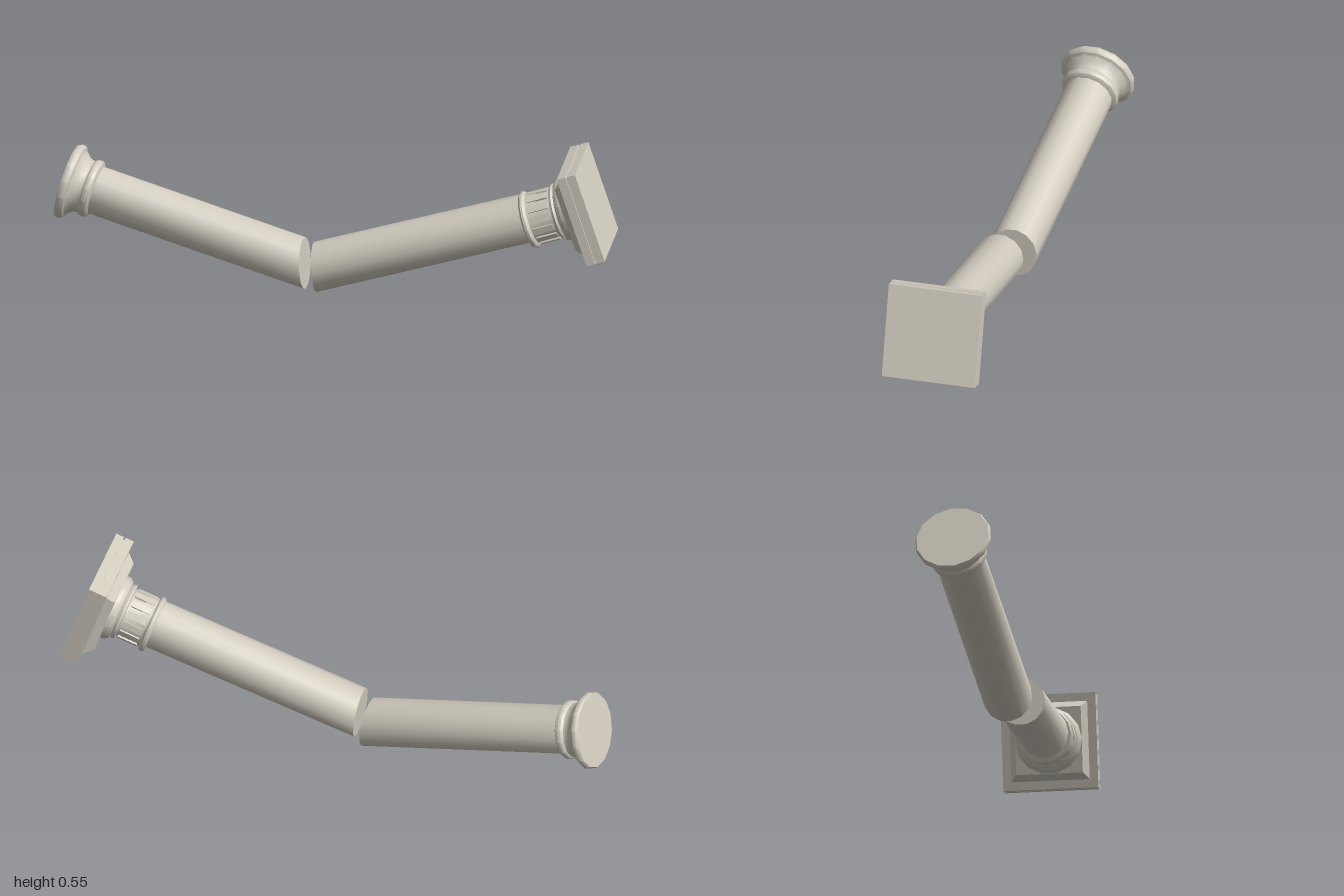
import * as THREE from 'three';
import { toCreasedNormals } from 'three/addons/utils/BufferGeometryUtils.js';

const SIDES = 14;
const SHAFT_R = 0.0875;
const UP = new THREE.Vector3(0, 1, 0);

export function createModel() {
  const model = new THREE.Group();
  model.name = 'brokenColumn';
  const stone = new THREE.MeshStandardMaterial({ color: 0xd3cdc0 });
  stone.name = 'paleStone';

  const add = (parent, name, geo) => {
    const mesh = new THREE.Mesh(toCreasedNormals(geo, 0.6), stone);
    mesh.name = name;
    parent.add(mesh);
    return mesh;
  };

  // turned part; the profile lists [radius, height] from bottom to top
  const turned = (parent, name, profile) =>
    add(parent, name, new THREE.LatheGeometry(profile.map(([r, y]) => new THREE.Vector2(r, y)), SIDES));

  // group whose local y runs along the given direction
  const pieceAlong = (name, origin, dir) => {
    const g = new THREE.Group();
    g.name = name;
    g.position.copy(origin);
    g.quaternion.setFromUnitVectors(UP, dir.clone().normalize());
    model.add(g);
    return g;
  };

  // shaft from the whole end to the break, its last ring slid onto a slanted plane
  // x = broken.x + sy * (y - broken.y) + sz * (z - broken.z)
  const brokenShaft = (name, whole, broken, sy, sz) => {
    const axis = broken.clone().sub(whole);
    const len = axis.length();
    axis.normalize();
    const geo = new THREE.CylinderGeometry(SHAFT_R, SHAFT_R, len, SIDES);
    geo.translate(0, len / 2, 0);
    geo.applyQuaternion(new THREE.Quaternion().setFromUnitVectors(UP, axis));
    geo.translate(whole.x, whole.y, whole.z);
    const normal = new THREE.Vector3(1, -sy, -sz);
    const pos = geo.attributes.position;
    const v = new THREE.Vector3();
    for (let i = 0; i < pos.count; i++) {
      v.fromBufferAttribute(pos, i);
      if (v.clone().sub(whole).dot(axis) < len / 2) continue;
      const t = broken.clone().sub(v).dot(normal) / axis.dot(normal);
      v.addScaledVector(axis, t);
      pos.setXYZ(i, v.x, v.y, v.z);
    }
    add(model, name, geo);
  };

  // lower half: moulded foot and shaft
  const foot = new THREE.Vector3(-0.962, 0.318, -0.092);
  const lowBreak = new THREE.Vector3(-0.1, 0.09, 0.013);
  const lowDir = lowBreak.clone().sub(foot).normalize();
  const base = pieceAlong('base', foot, lowDir);
  turned(base, 'baseMoulding', [
    [0, 0], [0.132, 0], [0.137, 0.008], [0.137, 0.02], [0.131, 0.029], [0.119, 0.033],
    [0.112, 0.042], [0.102, 0.052], [0.097, 0.066], [0.097, 0.076],
    [0.104, 0.083], [0.106, 0.093], [0.103, 0.104], [0.094, 0.11], [0.085, 0.112],
  ]);
  brokenShaft('lowerShaft', foot.clone().addScaledVector(lowDir, 0.1), lowBreak, -0.065, -0.094);

  // upper half: shaft and capital
  const top = new THREE.Vector3(0.944, 0.391, 0.057);
  const highBreak = new THREE.Vector3(-0.058, 0.092, 0.053);
  const highDir = top.clone().sub(highBreak).normalize();
  brokenShaft('upperShaft', top.clone().addScaledVector(highDir, -0.2), highBreak, -0.09, 0);

  const tilt = THREE.MathUtils.degToRad(18.4);
  const capital = pieceAlong('capital', top, new THREE.Vector3(Math.cos(tilt), Math.sin(tilt), 0));

  // square slab in two layers with a shallow groove between
  for (const [name, width, thick, y] of [
    ['abacusTop', 0.337, 0.03, -0.015],
    ['abacusGroove', 0.322, 0.008, -0.033],
    ['abacusBottom', 0.337, 0.032, -0.052],
  ]) add(capital, name, new THREE.BoxGeometry(width, thick, width).translate(0, y, 0));

  // square block flaring up to the slab
  const flare = new THREE.CylinderGeometry(0.14 * Math.SQRT2, 0.118 * Math.SQRT2, 0.034, 4);
  add(capital, 'abacusFlare', flare.rotateY(Math.PI / 4).translate(0, -0.083, 0));

  // round mouldings and neck
  turned(capital, 'capitalMoulding', [
    [0.08, -0.262], [0.097, -0.26], [0.103, -0.253], [0.103, -0.245], [0.097, -0.238],
    [0.09, -0.236], [0.09, -0.148], [0.1, -0.146], [0.104, -0.138], [0.1, -0.13],
    [0.108, -0.127], [0.117, -0.114], [0.119, -0.1], [0, -0.1],
  ]);

  // raised panels around the neck
  for (let i = 0; i < SIDES; i++) {
    const panel = new THREE.BoxGeometry(0.024, 0.074, 0.01).translate(0, -0.192, 0.089);
    add(capital, 'neckPanel', panel.rotateY(((i + 0.5) / SIDES) * Math.PI * 2));
  }

  return model;
}
